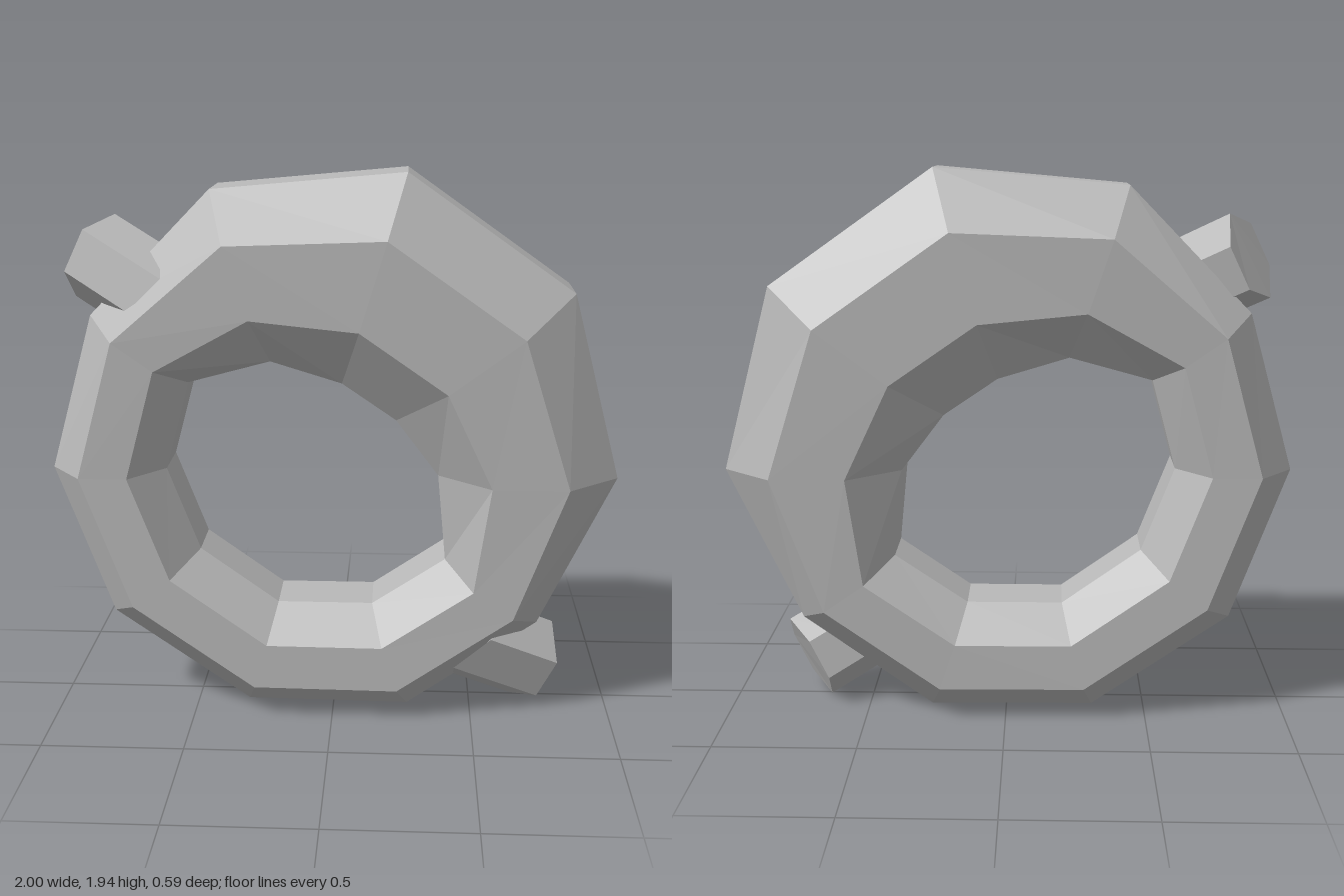
import * as THREE from 'three';

// Skin a list of equal-length vertex loops; either close the list or cap both ends.
function loft(loops, closed) {
  const pos = [];
  const tri = (a, b, c) => pos.push(...a, ...b, ...c);
  const n = loops[0].length;
  const count = closed ? loops.length : loops.length - 1;
  for (let r = 0; r < count; r++) {
    const p = loops[r], q = loops[(r + 1) % loops.length];
    for (let j = 0; j < n; j++) {
      const k = (j + 1) % n;
      tri(p[j], p[k], q[k]);
      tri(p[j], q[k], q[j]);
    }
  }
  if (!closed) {
    const first = loops[0], last = loops[loops.length - 1];
    for (let j = 1; j < n - 1; j++) {
      tri(first[0], first[j + 1], first[j]);
      tri(last[0], last[j], last[j + 1]);
    }
  }
  const geometry = new THREE.BufferGeometry();
  geometry.setAttribute('position', new THREE.Float32BufferAttribute(pos, 3));
  geometry.computeVertexNormals();
  return geometry;
}

// Ring stations, clockwise from the top: outer x, y, innermost x, y, half depth
const stations = [
  [0.25, 1.945, 0.03, 1.22, 0.293],
  [0.825, 1.54, 0.22, 1.09, 0.29],
  [0.997, 0.89, 0.37, 0.89, 0.28],
  [0.735, 0.34, 0.40, 0.575, 0.266],
  [0.27, 0.01, 0.14, 0.40, 0.257],
  [-0.31, 0.015, -0.20, 0.40, 0.255],
  [-0.80, 0.355, -0.48, 0.60, 0.253],
  [-1.0, 0.90, -0.595, 0.90, 0.253],
  [-0.845, 1.45, -0.51, 1.215, 0.26],
  [-0.42, 1.885, -0.22, 1.295, 0.282],
];

// Octagonal cross-section: fraction from outer to inner edge, fraction of half depth
const section = [
  [0, 0.41], [0.29, 1], [0.71, 1], [1, 0.41],
  [1, -0.41], [0.71, -1], [0.29, -1], [0, -0.41],
];

// Hexagonal stub: three corner offsets mirrored through the centre, each edge
// running inward along the axis by its own length
function stub(centre, corners, axis, lengths) {
  const offsets = [...corners, ...corners.map((c) => c.map((v) => -v))];
  const outer = offsets.map((o) => o.map((v, i) => v + centre[i]));
  const inner = outer.map((p, j) => p.map((v, i) => v + axis[i] * lengths[j]));
  return loft([outer, inner], false);
}

export function createModel() {
  const group = new THREE.Group();
  const stone = new THREE.MeshStandardMaterial({ color: 0xb8b8b8, flatShading: true });
  stone.name = 'stoneGrey';
  const add = (name, geometry) => {
    const mesh = new THREE.Mesh(geometry, stone);
    mesh.name = name;
    group.add(mesh);
  };

  // Uneven ring
  add('ring', loft(stations.map(([ox, oy, ix, iy, d]) =>
    section.map(([t, z]) => [ox + (ix - ox) * t, oy + (iy - oy) * t, d * z])), true));

  // Stub on the upper right side
  add('upperStub', stub([-0.845, 1.64, -0.02],
    [[0.075, 0.145, 0], [-0.015, 0.105, 0.12], [-0.085, -0.04, 0.12]],
    [0.86, -0.45, 0.38], [0.2, 0.33, 0.27, 0.16, 0.1, 0.11]));

  // Stub on the lower left side
  add('lowerStub', stub([0.73, 0.15, -0.01],
    [[0.085, 0.035, 0.13], [0.075, 0.145, 0], [-0.015, 0.1, -0.12]],
    [-0.86, 0.45, 0.36], [0.29, 0.12, 0.09, 0.15, 0.25, 0.36]));

  return group;
}
